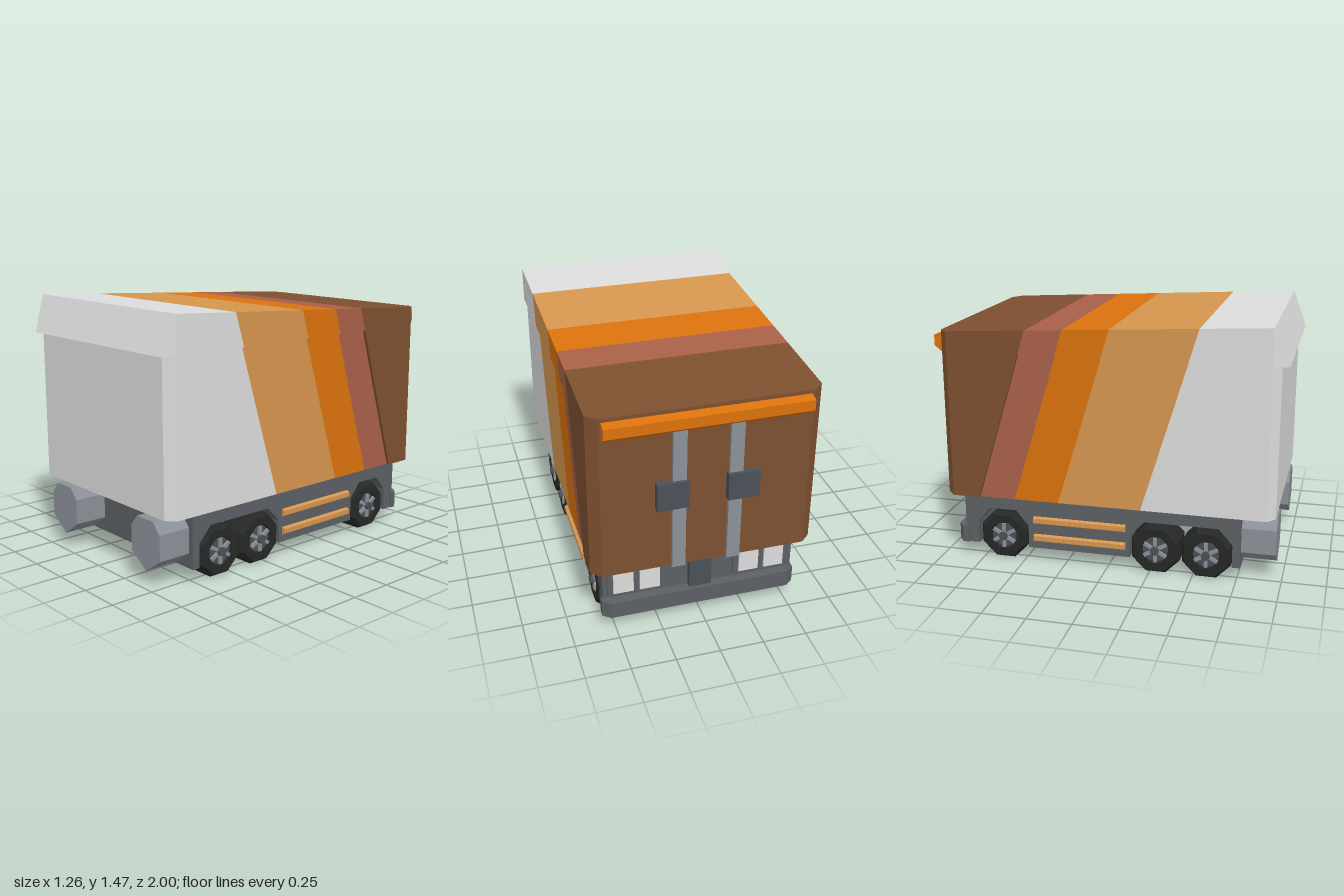
import * as THREE from 'three';

const mat = (name, color) => new THREE.MeshStandardMaterial({ name, color, side: THREE.DoubleSide, flatShading: true });

export function createModel() {
  const light = mat('light grey', 0xdcdcdc), tan = mat('tan', 0xd6964f), orange = mat('orange', 0xdb720d);
  const red = mat('rust red', 0xa86048), brown = mat('brown', 0x7d5030), frame = mat('chassis grey', 0x5b6064);
  const steel = mat('steel grey', 0x8b9098), dark = mat('dark grey', 0x4a5056), rubber = mat('rubber', 0x262727);

  const model = new THREE.Group();
  model.name = 'cargoTrailer';
  const body = new THREE.Group(), chassis = new THREE.Group();
  body.name = 'body';
  chassis.name = 'chassis';
  chassis.position.x = 0.005;
  model.add(body, chassis);

  const add = (parent, name, geometry, material, x = 0, y = 0, z = 0) => {
    const mesh = new THREE.Mesh(geometry, material);
    mesh.name = name;
    mesh.position.set(x, y, z);
    parent.add(mesh);
    return mesh;
  };
  const box = (parent, name, m, w, h, d, x, y, z) => add(parent, name, new THREE.BoxGeometry(w, h, d), m, x, y, z);

  // flat convex panel, turned to face away from the middle of the model
  const panel = (parent, name, m, corners) => {
    const p = corners.map(c => new THREE.Vector3(...c));
    const normal = p[1].clone().sub(p[0]).cross(p[2].clone().sub(p[0]));
    const mid = p.reduce((s, v) => s.add(v), new THREE.Vector3()).divideScalar(p.length);
    if (normal.dot(mid.sub(new THREE.Vector3(0, 0.8, 0))) < 0) p.reverse();
    const tris = [];
    for (let i = 1; i < p.length - 1; i++) tris.push(p[0], p[i], p[i + 1]);
    const g = new THREE.BufferGeometry().setFromPoints(tris);
    g.computeVertexNormals();
    return add(parent, name, g, m);
  };

  // ---- body: slanted colour bands over the sides and the sloping roof
  const W = 0.632, IN = 0.615, Y0 = 0.4, Y1 = 1.26, FRONT = 0.915, BACK = -0.95, CUT = -0.9;
  const roofY = z => 1.47 + (z - FRONT) * 0.0563;
  const bands = [light, tan, orange, red, brown];
  const starts = [0.21, -0.27, -0.53, -0.74];
  const edge = (i, y) => i === 0 ? FRONT : i === 5 ? CUT : starts[i - 1] + (y - Y0) * 0.304;
  const edgeTop = i => i === 0 ? FRONT : i === 5 ? CUT : (starts[i - 1] + 0.3096) / 0.983;

  bands.forEach((m, i) => {
    const a = edgeTop(i), b = edgeTop(i + 1), ra = roofY(a), rb = roofY(b);
    const a1 = edge(i, Y1), b1 = edge(i + 1, Y1), a0 = edge(i, Y0), b0 = edge(i + 1, Y0);
    const roof = [[W, ra, a], [W, rb, b]];
    if (i === 4) roof.push([0.575, roofY(BACK), BACK], [-0.575, roofY(BACK), BACK]);
    roof.push([-W, rb, b], [-W, ra, a]);
    panel(body, 'roofBand', m, roof);
    for (const s of [1, -1]) {
      const x = s * (i < 4 ? IN : W);
      panel(body, 'upperSideBand', m, [[s * W, Y1, a1], [s * W, Y1, b1], [s * W, rb, b], [s * W, ra, a]]);
      panel(body, 'lowerSideBand', m, [[x, Y0, a0], [x, Y0, b0], [x, Y1, b1], [x, Y1, a1]]);
      if (i < 4) panel(body, 'sideLedge', m, [[x, Y1, a1], [s * W, Y1, a1], [s * W, Y1, b1], [x, Y1, b1]]);
      else panel(body, 'sideStep', m, [[s * IN, Y0, a0], [s * W, Y0, a0], [s * W, Y1, a1], [s * IN, Y1, a1]]);
    }
  });

  // front wall, cut corners and sloping hood
  panel(body, 'frontWall', light, [[-0.565, Y0, 0.96], [0.565, Y0, 0.96], [0.565, Y1, 0.96], [-0.565, Y1, 0.96]]);
  panel(body, 'hoodFront', light, [[-0.582, Y1, 1], [0.582, Y1, 1], [W, 1.47, FRONT], [-W, 1.47, FRONT]]);
  panel(body, 'hoodUnderside', light, [[-W, Y1, FRONT], [-0.582, Y1, 1], [0.582, Y1, 1], [W, Y1, FRONT]]);
  for (const s of [1, -1]) {
    panel(body, 'frontCorner', light, [[s * IN, Y0, FRONT], [s * 0.565, Y0, 0.96], [s * 0.565, Y1, 0.96], [s * IN, Y1, FRONT]]);
    panel(body, 'hoodCheek', light, [[s * W, Y1, FRONT], [s * 0.582, Y1, 1], [s * W, 1.47, FRONT]]);
    panel(body, 'rearCorner', brown, [[s * W, Y0, CUT], [s * 0.575, Y0, BACK],
      [s * 0.575, roofY(BACK), BACK], [s * W, roofY(CUT), CUT]]);
    // door bars and latches
    box(body, 'doorBar', steel, 0.075, 0.86, 0.025, s * 0.155, 0.83, -0.958);
    box(body, 'doorLatch', dark, 0.175, 0.16, 0.04, s * 0.195, 0.87, -0.97);
  }
  panel(body, 'rearDoors', brown, [[-0.575, Y0, BACK], [0.575, Y0, BACK],
    [0.575, roofY(BACK), BACK], [-0.575, roofY(BACK), BACK]]);

  // bar with a side profile given as [z, y], running across the model
  const crossBar = (parent, name, m, profile, half) => {
    const shape = new THREE.Shape(profile.map(([z, y]) => new THREE.Vector2(-z, y)));
    const g = new THREE.ExtrudeGeometry(shape, { depth: 2 * half, bevelEnabled: false });
    g.translate(0, 0, -half).rotateY(Math.PI / 2);
    return add(parent, name, g, m);
  };
  crossBar(body, 'rearTopBar', orange, [[-0.945, 1.345], [-1, 1.33], [-1, 1.27], [-0.945, 1.225]], 0.56);

  // ---- chassis: side plates with wheel arches, open underneath in the middle
  const HX = 0.555, LOW = 0.08;
  const outline = [[0.77, LOW], [0.725, LOW], [0.725, 0.215], [0.645, 0.305], [0.22, 0.305], [0.135, 0.215], [0.135, LOW],
    [-0.475, LOW], [-0.475, 0.215], [-0.55, 0.305], [-0.71, 0.305], [-0.787, 0.215], [-0.787, LOW], [-0.865, LOW]];
  const plate = new THREE.Shape([[0.77, Y0], ...outline, [-0.865, Y0]].map(([z, y]) => new THREE.Vector2(-z, y)));
  const strip = (name, [z0, y0], [z1, y1]) =>
    panel(chassis, name, frame, [[-HX, y0, z0], [HX, y0, z0], [HX, y1, z1], [-HX, y1, z1]]);
  for (const s of [1, -1]) {
    const side = add(chassis, 'sidePlate', new THREE.ShapeGeometry(plate), frame, s * HX);
    side.rotation.y = Math.PI / 2;
  }
  for (let i = 0; i < outline.length - 1; i++) if (i !== 6) strip('archAndFloor', outline[i], outline[i + 1]);
  strip('frontPlate', [0.77, LOW], [0.77, Y0]);
  strip('rearPlate', [-0.865, LOW], [-0.865, Y0]);

  // front tanks
  const tank = new THREE.Shape([[0, 0.08], [0.125, 0.165], [0.125, 0.31], [0.07, 0.372], [-0.07, 0.372],
    [-0.125, 0.31], [-0.125, 0.165]].map(p => new THREE.Vector2(...p)));
  // side rail section as [out, y]
  const rail = new THREE.Shape([[0, -0.024], [0.02, -0.012], [0.02, 0.016], [0, 0.024]].map(p => new THREE.Vector2(...p)));
  for (const s of [1, -1]) {
    add(chassis, 'frontTank', new THREE.ExtrudeGeometry(tank, { depth: 0.197, bevelEnabled: false }), steel, s * 0.398, 0, 0.768);
    for (const y of [0.255, 0.145]) {
      const g = new THREE.ExtrudeGeometry(rail, { depth: 0.55, bevelEnabled: false });
      g.translate(0, 0, -0.275);
      const r = add(chassis, 'sideRail', g, tan, s * HX, y, -0.165);
      if (s < 0) r.rotation.y = Math.PI;
    }
    // rear lamps in their frame
    box(chassis, 'lampFrame', frame, 0.33, 0.185, 0.012, s * 0.365, 0.3, -0.87);
    for (const x of [0.29, 0.44]) box(chassis, 'rearLamp', light, 0.115, 0.165, 0.026, s * x, 0.3, -0.875);
  }
  box(chassis, 'rearLatchBox', dark, 0.13, 0.22, 0.035, 0, 0.29, -0.88);

  // rear bumper with cut corners
  const bumper = new THREE.Shape([[-0.565, 0.85], [0.565, 0.85], [0.565, 0.885], [0.52, 0.92],
    [-0.52, 0.92], [-0.565, 0.885]].map(p => new THREE.Vector2(...p)));
  const bumperGeo = new THREE.ExtrudeGeometry(bumper, { depth: 0.1, bevelEnabled: false });
  bumperGeo.rotateX(-Math.PI / 2);
  add(chassis, 'rearBumper', bumperGeo, frame, 0, 0.08, 0);

  // ---- wheels: eight-sided tyres with six-spoke hubs
  const tyre = new THREE.LatheGeometry([[0, 0.37], [0.145, 0.37], [0.1515, 0.385], [0.1515, 0.535], [0.135, 0.558],
    [0.085, 0.558], [0.078, 0.54], [0, 0.54]].map(p => new THREE.Vector2(...p)), 8, Math.PI / 8);
  tyre.rotateZ(-Math.PI / 2);
  const disc = (r, h, n) => new THREE.CylinderGeometry(r, r, h, n).rotateZ(-Math.PI / 2);
  for (const s of [1, -1]) for (const z of [0.577, 0.283, -0.63]) {
    const wheel = new THREE.Group();
    wheel.name = 'wheel';
    wheel.position.set(0, 0.14, z);
    if (s < 0) wheel.rotation.y = Math.PI;
    add(wheel, 'tyre', tyre, rubber);
    add(wheel, 'hubDisc', disc(0.076, 0.008, 12), dark, 0.542);
    for (let i = 0; i < 6; i++) {
      const a = i * Math.PI / 3;
      const spoke = box(wheel, 'spoke', steel, 0.016, 0.055, 0.02, 0.552, Math.cos(a) * 0.047, Math.sin(a) * 0.047);
      spoke.rotation.x = a;
    }
    add(wheel, 'hubCap', disc(0.026, 0.035, 8), dark, 0.56);
    chassis.add(wheel);
  }
  return model;
}
